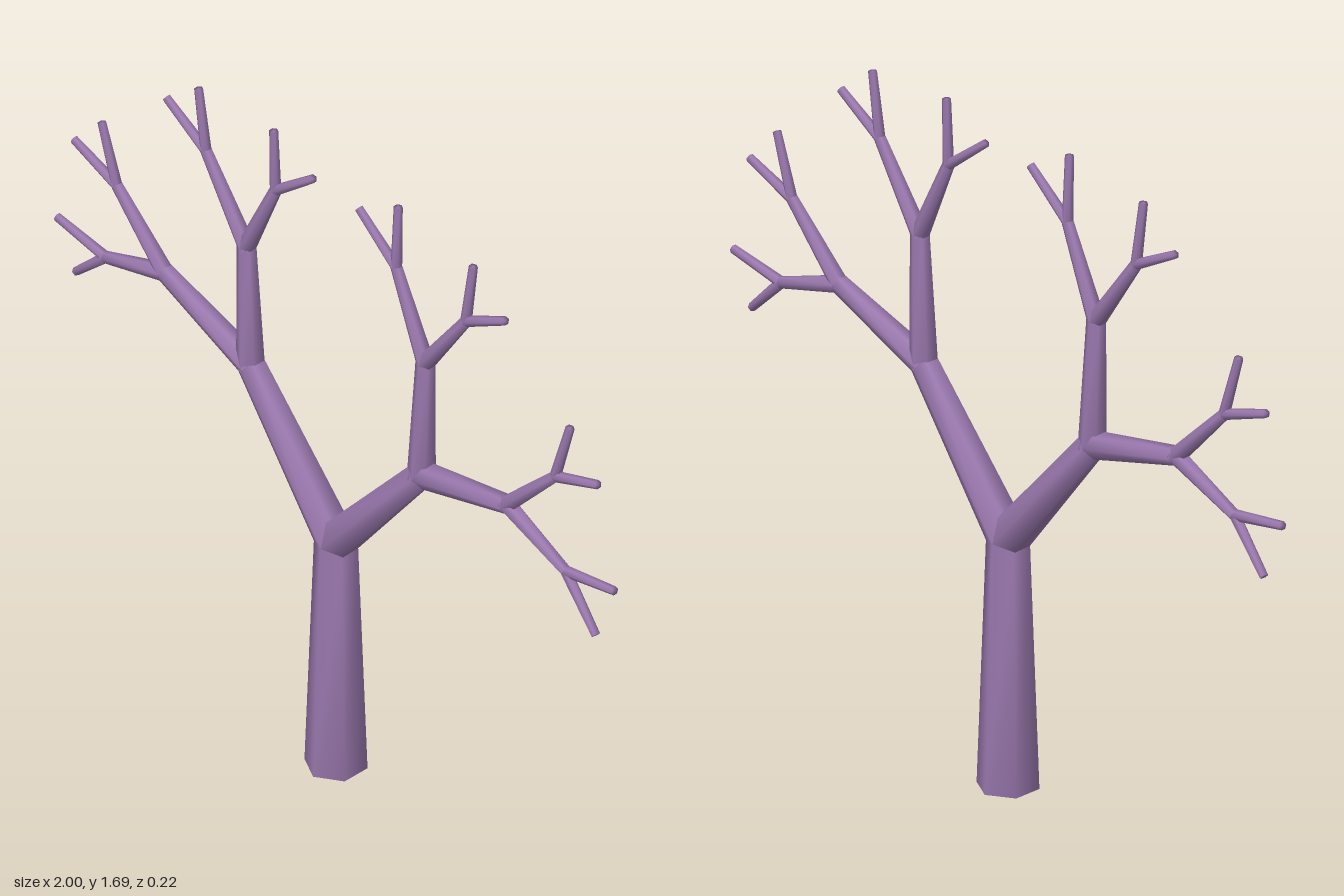
import * as THREE from 'three';
import { mergeVertices } from 'three/addons/utils/BufferGeometryUtils.js';

const UP = new THREE.Vector3(0, 1, 0);
const bark = new THREE.MeshStandardMaterial({ color: 0x9a78ae });
bark.name = 'purple bark';

// Tapered six-sided limb with softly shaded edges
function limb(name, from, to, r0, r1, overlap = 0) {
  const a = new THREE.Vector3(...from), b = new THREE.Vector3(...to);
  const dir = b.clone().sub(a).normalize();
  a.addScaledVector(dir, -overlap);
  let g = new THREE.CylinderGeometry(r1, r0, a.distanceTo(b), 6);
  g.deleteAttribute('uv');
  g.deleteAttribute('normal');
  g = mergeVertices(g, 1e-4);
  g.computeVertexNormals();
  const mesh = new THREE.Mesh(g, bark);
  mesh.name = name;
  mesh.position.copy(a).add(b).multiplyScalar(0.5);
  mesh.quaternion.setFromUnitVectors(UP, dir);
  return mesh;
}

// Start and end radius of each branching level
const LEVELS = [
  ['bough', 0.052, 0.036],
  ['branch', 0.035, 0.024],
  ['twig', 0.023, 0.015],
  ['twigTip', 0.014, 0.011],
];

// Forking half of the crown: each node is an end point and its children
const CROWN = { at: [0.3, 0.98, 0.02], kids: [
  { at: [0.315, 1.305, 0.022], kids: [
    { at: [0.21, 1.52, 0.012], kids: [
      { at: [0.08, 1.62, 0.005] },
      { at: [0.212, 1.69, 0.008] },
    ] },
    { at: [0.46, 1.5, 0.034], kids: [
      { at: [0.482, 1.665, 0.032] },
      { at: [0.6, 1.575, 0.045] },
    ] },
  ] },
  { at: [0.615, 1.067, 0.055], kids: [
    { at: [0.78, 1.23, 0.062], kids: [
      { at: [0.825, 1.388, 0.058] },
      { at: [0.928, 1.283, 0.07] },
    ] },
    { at: [0.83, 0.993, 0.077], kids: [
      { at: [0.997, 1.022, 0.084] },
      { at: [0.951, 0.882, 0.1] },
    ] },
  ] },
] };

function grow(group, node, from, level = 0) {
  const [name, r0, r1] = LEVELS[level];
  group.add(limb(name, from, node.at, r0, r1, level ? r0 * 0.3 : 0));
  for (const kid of node.kids ?? []) grow(group, kid, node.at, level + 1);
}

export function createModel() {
  const tree = new THREE.Group();
  tree.name = 'bareTree';
  const fork = [0, 0.635, 0];
  tree.add(limb('trunk', [0, 0, 0], fork, 0.076, 0.053));

  // The two halves of the crown are a half turn apart
  for (const [name, turn] of [['leftCrown', 0], ['rightCrown', Math.PI]]) {
    const half = new THREE.Group();
    half.name = name;
    grow(half, CROWN, fork);
    half.rotation.y = turn;
    tree.add(half);
  }
  return tree;
}
